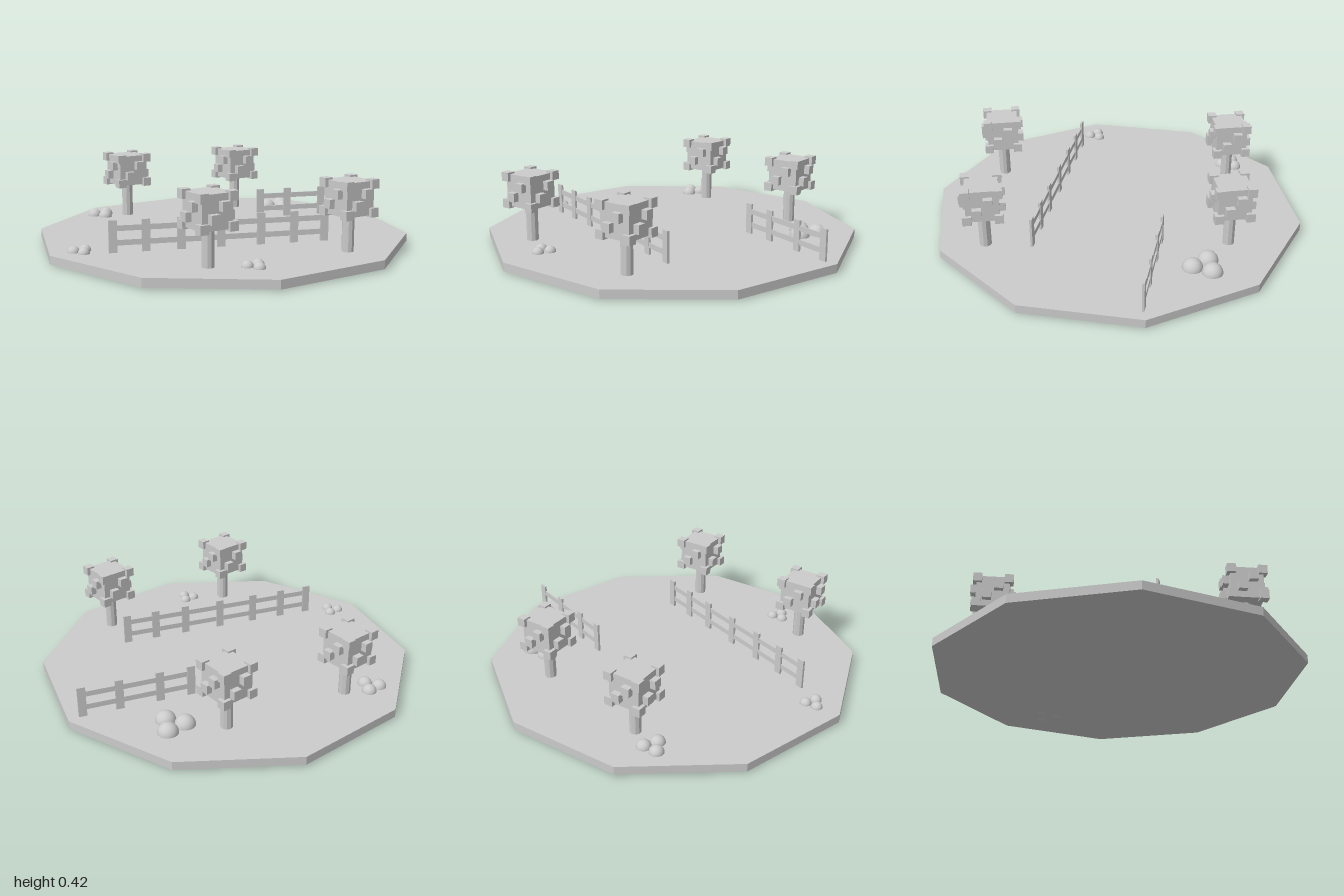
import * as THREE from 'three';

const GROUND = 0.052; // top of the island slab
const flat = new THREE.MeshStandardMaterial({ color: 0xcccccc, flatShading: true });
const smooth = new THREE.MeshStandardMaterial({ color: 0xcccccc });

function add(parent, name, geometry, x, y, z, material = flat) {
  const mesh = new THREE.Mesh(geometry, material);
  mesh.name = name;
  mesh.position.set(x, y, z);
  parent.add(mesh);
  return mesh;
}

function group(parent, name, x, y, z) {
  const g = new THREE.Group();
  g.name = name;
  g.position.set(x, y, z);
  parent.add(g);
  return g;
}

// Blocky tree: round trunk, cube crown, leaf cubes on corners and sides
function addTree(parent, x, z) {
  const tree = group(parent, 'tree', x, GROUND, z);
  add(tree, 'trunk', new THREE.CylinderGeometry(0.031, 0.031, 0.2, 10), 0, 0.1, 0);
  const crown = group(tree, 'crown', 0, 0.274, 0);
  add(crown, 'crownCore', new THREE.BoxGeometry(0.17, 0.17, 0.17), 0, 0, 0);
  const leaf = new THREE.BoxGeometry(0.046, 0.046, 0.046);
  for (const sx of [-1, 1])
    for (const sy of [-1, 1])
      for (const sz of [-1, 1])
        add(crown, 'cornerLeaf', leaf, sx * 0.08, sy * 0.071, sz * 0.08);
  for (let i = 0; i < 4; i++) {
    const side = group(crown, 'sideLeaves', 0, 0, 0);
    side.rotation.y = (i * Math.PI) / 2;
    for (const s of [-1, 1]) add(side, 'sideLeaf', leaf, s * 0.029, s * 0.028, 0.093);
  }
}

// Fence: posts at the given distances along its length, joined by two rails
function addFence(parent, x, z, angle, posts) {
  const fence = group(parent, 'fence', x, GROUND, z);
  fence.rotation.y = -angle;
  const post = new THREE.BoxGeometry(0.042, 0.164, 0.012);
  for (const p of posts) add(fence, 'post', post, p, 0.082, 0);
  const length = posts[posts.length - 1];
  const rail = new THREE.BoxGeometry(length, 0.028, 0.007);
  for (const y of [0.05, 0.123]) add(fence, 'rail', rail, length / 2, y, 0);
}

// Cluster of three round bushes half sunk in the ground
function addBushes(parent, x, z, r, spread, depth) {
  const cluster = group(parent, 'bushes', x, GROUND, z);
  const ball = new THREE.SphereGeometry(r, 24, 16);
  for (const [bx, bz] of [[-spread, 0], [spread, 0], [0, depth]])
    add(cluster, 'bush', ball, bx, 0, bz, smooth);
}

export function createModel() {
  const model = new THREE.Group();
  model.name = 'island';

  // Ten-sided slab with corners on the x axis
  const slab = new THREE.CylinderGeometry(1, 1, 0.045, 10).rotateY(Math.PI / 2);
  add(model, 'ground', slab, 0, GROUND - 0.0225, 0);

  for (const [x, z] of [[-0.465, 0.595], [0.277, 0.717], [0.432, -0.525], [-0.232, -0.672]])
    addTree(model, x, z);

  addFence(model, -0.716, 0.116, 0.335, [0, 0.165, 0.343, 0.548, 0.758, 0.935, 1.1]);
  addFence(model, 0.385, -0.184, 0.325, [0, 0.165, 0.375, 0.565]);

  addBushes(model, 0.63, -0.385, 0.053, 0.052, 0.09);
  addBushes(model, -0.373, -0.75, 0.038, 0.037, 0.065);
  addBushes(model, -0.843, -0.002, 0.03, 0.031, 0.053);
  addBushes(model, -0.278, 0.69, 0.03, 0.031, 0.055);

  return model;
}
